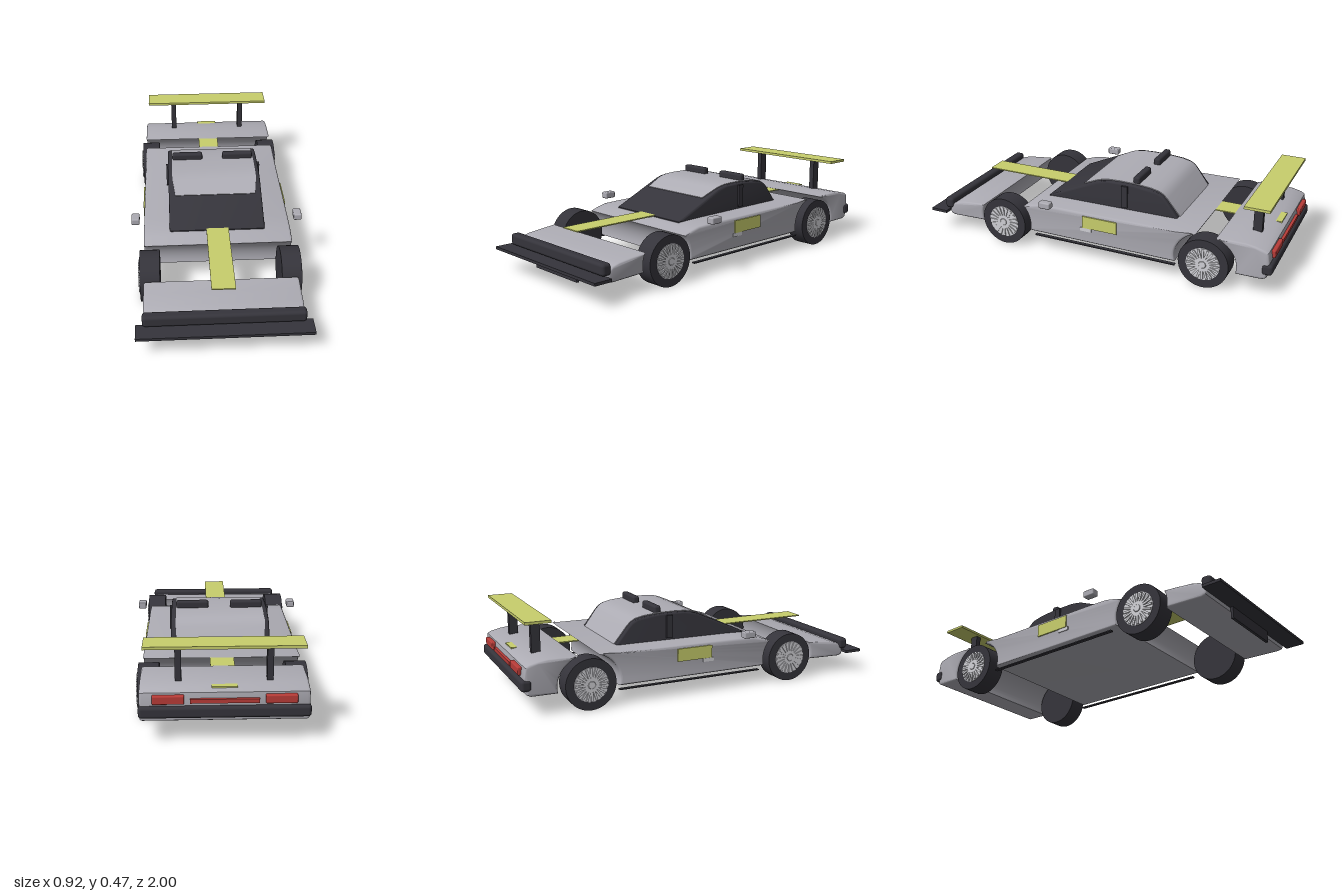
import * as THREE from 'three';
import { toCreasedNormals } from 'three/addons/utils/BufferGeometryUtils.js';
import { RoundedBoxGeometry } from 'three/addons/geometries/RoundedBoxGeometry.js';

function material(name, color) {
  const m = new THREE.MeshStandardMaterial({ color });
  m.name = name;
  return m;
}

// Elliptical wheel arch points in the (z, y) plane, angles in degrees
function arch(cz, rz, ry, from, to, steps = 14) {
  return Array.from({ length: steps + 1 }, (_, i) => {
    const a = THREE.MathUtils.degToRad(from + ((to - from) * i) / steps);
    return [cz + rz * Math.cos(a), 0.135 + ry * Math.sin(a)];
  });
}

// Extrude a (z, y) side profile across the car, centred on x = 0
function sideExtrude(points, width, bevel) {
  const shape = new THREE.Shape(points.map(([z, y]) => new THREE.Vector2(z, y)));
  const depth = width - 2 * bevel;
  const geo = new THREE.ExtrudeGeometry(shape, {
    depth, bevelEnabled: bevel > 0, bevelThickness: bevel,
    bevelSize: bevel, bevelOffset: -bevel, bevelSegments: 3,
  });
  geo.translate(0, 0, -depth / 2);
  geo.rotateY(-Math.PI / 2);
  return toCreasedNormals(geo, 0.55);
}

export function createModel() {
  const car = new THREE.Group();
  car.name = 'racingCar';

  const silver = material('silverPaint', 0xadacb4);
  const dark = material('darkTrim', 0x35343b);
  const yellow = material('yellowPaint', 0xc8ce6c);
  const red = material('redLamp', 0xb83c38);
  const alloy = material('lightAlloy', 0xd0d0d5);

  function add(name, geo, mat, parent = car) {
    const mesh = new THREE.Mesh(geo, mat);
    mesh.name = name;
    parent.add(mesh);
    return mesh;
  }
  // Box given by its extents, optionally rounded
  function box(name, mat, [x0, x1], [y0, y1], [z0, z1], radius = 0) {
    const s = [x1 - x0, y1 - y0, z1 - z0];
    const geo = radius ? new RoundedBoxGeometry(...s, 3, radius) : new THREE.BoxGeometry(...s);
    const mesh = add(name, geo, mat);
    mesh.position.set((x0 + x1) / 2, (y0 + y1) / 2, (z0 + z1) / 2);
    return mesh;
  }
  // The same box on the left and right sides
  function pair(name, mat, [x0, x1], y, z, radius = 0) {
    box(name + 'Left', mat, [x0, x1], y, z, radius);
    box(name + 'Right', mat, [-x1, -x0], y, z, radius);
  }

  // Body: nose, middle and tail, separated by the full-width wheel arches
  const nose = [
    ...arch(0.52, 0.155, 0.155, -13, 25, 8),
    [0.74, 0.193], [0.82, 0.184], [0.865, 0.172], [0.892, 0.15],
    [0.902, 0.12], [0.895, 0.1], [0.87, 0.094],
  ];
  const middle = [
    ...arch(0.52, 0.155, 0.155, 193, 138),
    [0.35, 0.257], [0.3, 0.268], [0.2, 0.271], [-0.3, 0.275],
    ...arch(-0.65, 0.166, 0.15, 71, -13.5),
  ];
  const tail = [
    ...arch(-0.65, 0.166, 0.15, 109, 192),
    [-0.95, 0.105], [-0.97, 0.115], [-0.983, 0.2], [-0.975, 0.255],
    [-0.955, 0.266], [-0.91, 0.277], [-0.86, 0.284], [-0.78, 0.284],
  ];
  add('noseBody', sideExtrude(nose, 0.79, 0.012), silver);
  add('middleBody', sideExtrude(middle, 0.79, 0.012), silver);
  add('tailBody', sideExtrude(tail, 0.79, 0.012), silver);

  // Dark glass canopy
  const roofLine = [
    [0.11, 0.362], [0.02, 0.402], [-0.01, 0.411], [-0.05, 0.417], [-0.11, 0.419], [-0.2, 0.418],
    [-0.29, 0.41], [-0.335, 0.4], [-0.36, 0.386], [-0.38, 0.365], [-0.452, 0.272],
  ];
  add('canopy', sideExtrude([[0.315, 0.262], [0.315, 0.27], ...roofLine, [-0.455, 0.262]], 0.514, 0.01), dark);

  // Silver roof panel over the canopy, narrowing toward both ends
  const outer = roofLine.map(([z, y], i) => {
    const p = roofLine[Math.max(i - 1, 0)], q = roofLine[Math.min(i + 1, roofLine.length - 1)];
    const len = Math.hypot(q[0] - p[0], q[1] - p[1]);
    return [z + (q[1] - p[1]) / len * 0.004, y - (q[0] - p[0]) / len * 0.004];
  });
  const roof = sideExtrude([...outer, ...[...roofLine].reverse()], 0.47, 0);
  const pos = roof.attributes.position;
  for (let i = 0; i < pos.count; i++) {
    const z = pos.getZ(i);
    const narrow = Math.max(0, z - 0.01) * 0.6 + Math.max(0, -0.36 - z) * 0.4;
    pos.setX(i, pos.getX(i) * (1 - narrow));
  }
  add('roofPanel', roof, silver);
  pair('doorPillar', dark, [0.25, 0.268], [0.285, 0.408], [-0.165, -0.13]);
  pair('roofPod', dark, [0.058, 0.23], [0.412, 0.457], [-0.22, -0.182], 0.012);

  // Bumpers, front splitter, chin and sills
  box('frontBumper', dark, [-0.4, 0.4], [0.134, 0.196], [0.875, 0.928], 0.016);
  box('rearBumper', dark, [-0.4, 0.4], [0.134, 0.193], [-1, -0.945], 0.016);
  box('splitter', dark, [-0.433, 0.433], [0.116, 0.131], [0.9, 1]);
  box('chinPlate', dark, [-0.177, 0.177], [0.055, 0.117], [0.904, 0.918]);
  pair('sideSill', dark, [0.375, 0.395], [0.077, 0.083], [-0.49, 0.335]);

  // Yellow centre strip and side number plates left blank
  box('centreStrip', yellow, [-0.06, 0.06], [0.268, 0.274], [-0.955, 0.823]);
  pair('sidePanel', yellow, [0.394, 0.402], [0.188, 0.256], [-0.164, 0.037]);
  pair('doorHandle', alloy, [0.392, 0.4], [0.168, 0.187], [-0.015, 0.05]);
  pair('mirror', silver, [0.418, 0.461], [0.283, 0.319], [0.203, 0.27], 0.007);

  // Rear wing
  box('wing', yellow, [-0.374, 0.374], [0.459, 0.473], [-0.962, -0.83]);
  pair('wingStrut', dark, [0.2, 0.23], [0.27, 0.46], [-0.895, -0.848]);

  // Tail lamps
  pair('tailLamp', red, [0.187, 0.335], [0.204, 0.246], [-0.997, -0.965], 0.006);
  box('centreTailLamp', red, [-0.16, 0.16], [0.208, 0.228], [-0.994, -0.965]);

  // Wheels with a finely spoked alloy face
  const tyreGeo = new THREE.CylinderGeometry(0.134, 0.134, 0.103, 40).rotateZ(-Math.PI / 2);
  const discGeo = new THREE.CylinderGeometry(0.09, 0.09, 0.008, 40).rotateZ(-Math.PI / 2);
  const spokeGeo = new THREE.BoxGeometry(0.008, 0.066, 0.011).translate(0, 0.053, 0);
  const hubGeo = new THREE.CylinderGeometry(0.018, 0.022, 0.012, 20).rotateZ(-Math.PI / 2);
  for (const [end, z] of [['front', 0.52], ['rear', -0.65]]) {
    for (const [side, sign] of [['Left', 1], ['Right', -1]]) {
      const wheel = new THREE.Group();
      wheel.name = end + 'Wheel' + side;
      wheel.position.set(sign * 0.3635, 0.134, z);
      wheel.rotation.y = sign > 0 ? 0 : Math.PI;
      add('tyre', tyreGeo, dark, wheel);
      add('rim', discGeo, alloy, wheel).position.x = 0.05;
      add('hub', hubGeo, alloy, wheel).position.x = 0.056;
      for (let i = 0; i < 20; i++) {
        const spoke = add('spoke', spokeGeo, alloy, wheel);
        spoke.position.x = 0.056;
        spoke.rotation.x = (i / 20) * Math.PI * 2;
      }
      car.add(wheel);
    }
  }
  return car;
}
